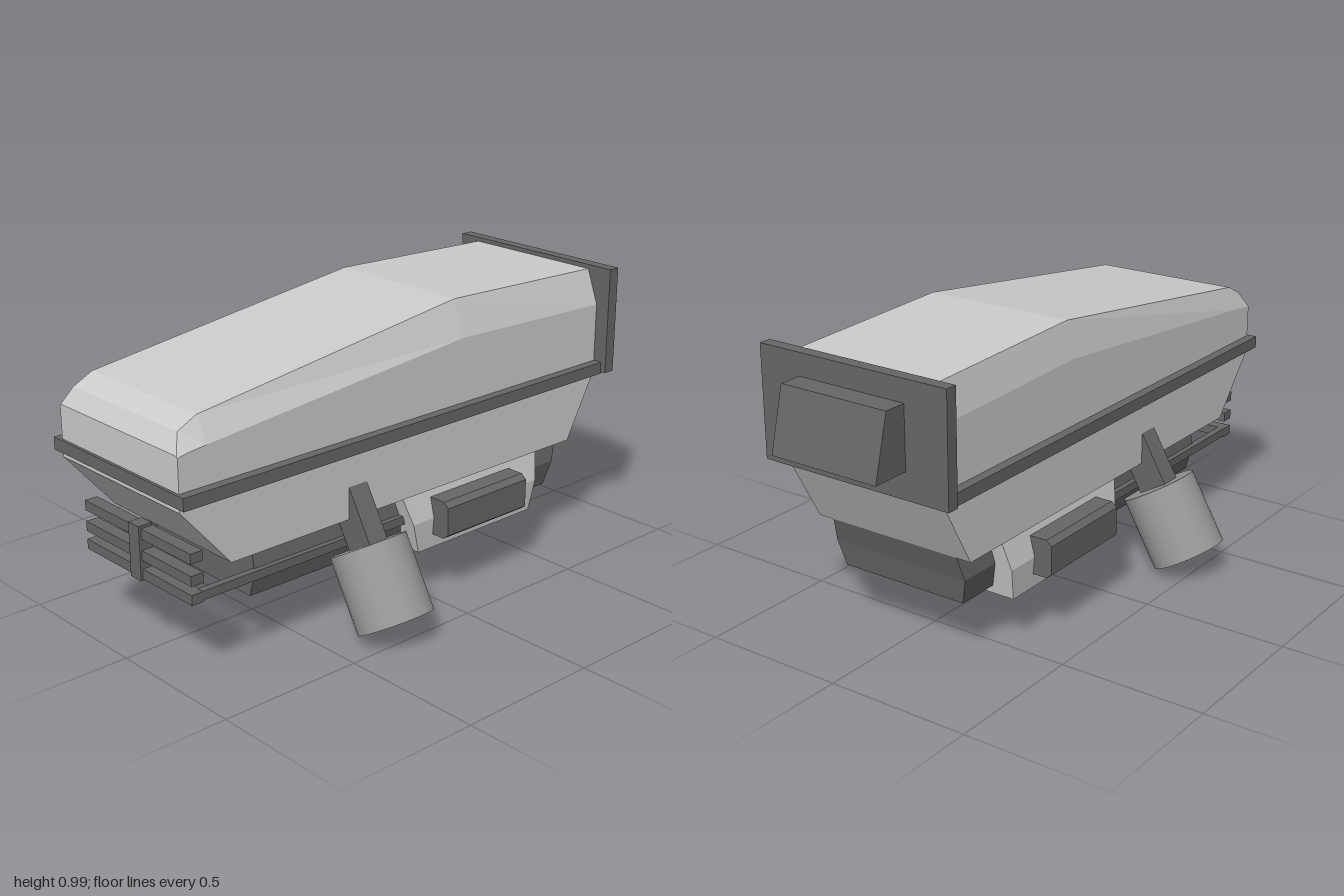
import * as THREE from 'three';

const light = new THREE.MeshStandardMaterial({ color: 0xcccccc, flatShading: true });
const dark = new THREE.MeshStandardMaterial({ color: 0x666666, flatShading: true });
const mid = new THREE.MeshStandardMaterial({ color: 0x999999 });

// Closed faceted solid through matching rings of [x, y, z] points.
function loft(rings) {
  const pos = [];
  const tri = (...pts) => pts.forEach((p) => pos.push(...p));
  for (let r = 0; r < rings.length - 1; r++) {
    const A = rings[r], B = rings[r + 1];
    A.forEach((a, i) => {
      const j = (i + 1) % A.length;
      tri(a, B[i], A[j]);
      tri(A[j], B[i], B[j]);
    });
  }
  const first = rings[0], last = rings[rings.length - 1];
  for (let i = 1; i < first.length - 1; i++) {
    tri(first[0], first[i], first[i + 1]);
    tri(last[0], last[i + 1], last[i]);
  }
  const geo = new THREE.BufferGeometry();
  geo.setAttribute('position', new THREE.Float32BufferAttribute(pos, 3));
  geo.computeVertexNormals();
  return geo;
}

// Solid from rectangular levels, top to bottom: [y, half width, front z, back z].
const tiers = (levels) => loft(levels.map(([y, w, f, b]) =>
  [[w, y, f], [w, y, b], [-w, y, b], [-w, y, f]]));

// Box given by its limits on each axis.
function block(x0, x1, y0, y1, z0, z1) {
  return new THREE.BoxGeometry(x1 - x0, y1 - y0, z1 - z0)
    .translate((x0 + x1) / 2, (y0 + y1) / 2, (z0 + z1) / 2);
}

export function createModel() {
  const model = new THREE.Group();
  const add = (name, geo, mat, parent = model) => {
    const mesh = new THREE.Mesh(geo, mat);
    mesh.name = name;
    parent.add(mesh);
    return mesh;
  };

  // Upper hull: z, shoulder height, roof height, roof left and right edges
  const upper = [
    [0.99, 0.755, 0.76, 0.298, -0.298],
    [0.955, 0.762, 0.815, 0.257, -0.275],
    [0.885, 0.77, 0.85, 0.257, -0.275],
    [-0.16, 0.868, 0.99, 0.257, -0.275],
    [-0.83, 0.85, 0.97, 0.257, -0.275],
  ];
  add('upperHull', loft(upper.map(([z, s, t, l, r]) => [
    [0.302, 0.62, z], [0.302, s, z], [l, t, z], [r, t, z], [-0.302, s, z], [-0.302, 0.62, z],
  ])), light);

  // Belt and lower hull
  add('beltRail', block(-0.335, 0.335, 0.603, 0.645, -0.83, 1), dark);
  add('lowerHull', tiers([
    [0.61, 0.302, 0.99, -0.82], [0.585, 0.302, 0.99, -0.815], [0.375, 0.302, 0.81, -0.7],
  ]), light);

  // Underside
  add('keel', tiers([
    [0.38, 0.245, 0.69, -0.7], [0.29, 0.258, 0.69, -0.672], [0.2, 0.235, 0.69, -0.655],
  ]), dark);
  add('bellyBlock', tiers([
    [0.38, 0.295, 0.103, -0.537], [0.28, 0.32, 0.073, -0.517], [0.17, 0.31, 0.04, -0.495],
  ]), light);

  // Rear plate and tail box
  add('rearPlate', block(-0.355, 0.355, 0.61, 0.985, -0.867, -0.825), dark);
  add('tailBox', tiers([[0.91, 0.2, -0.86, -0.945], [0.7, 0.2, -0.86, -1]]), dark);

  // Front grille
  const grille = new THREE.Group();
  grille.name = 'grille';
  model.add(grille);
  for (const y of [0.282, 0.344, 0.416])
    add('grilleBar', block(-0.275, 0.275, y - 0.017, y + 0.017, 0.895, 0.94), dark, grille);
  add('grillePost', block(-0.027, 0.027, 0.26, 0.442, 0.9, 0.948), dark, grille);

  // Paired parts
  for (const s of [1, -1]) {
    const side = s > 0 ? 'left' : 'right';
    add(side + 'GrilleRod', block(s * 0.2625 - 0.0125, s * 0.2625 + 0.0125, 0.27, 0.3, 0, 0.9), dark, grille);

    const vent = [[0.28, 0.22], [0.365, 0.22], [0.385, 0.235], [0.385, 0.333], [0.365, 0.35], [0.28, 0.35]];
    const outline = s > 0 ? vent : vent.map(([x, y]) => [-x, y]).reverse();
    add(side + 'Vent', loft([-0.02, -0.395].map((z) => outline.map(([x, y]) => [x, y, z]))), dark);

    // Thruster and its strut lean outward on one axis
    const pod = new THREE.Group();
    pod.name = side + 'Thruster';
    pod.position.set(s * 0.4145, 0.18, 0.302);
    pod.rotation.z = s * Math.PI / 6;
    model.add(pod);
    add('thrusterCan', new THREE.CylinderGeometry(0.128, 0.128, 0.26, 32), mid, pod);
    add('strut', block(-0.055, 0.055, 0.12, 0.4, -0.038, 0.038), dark, pod);
  }
  return model;
}
